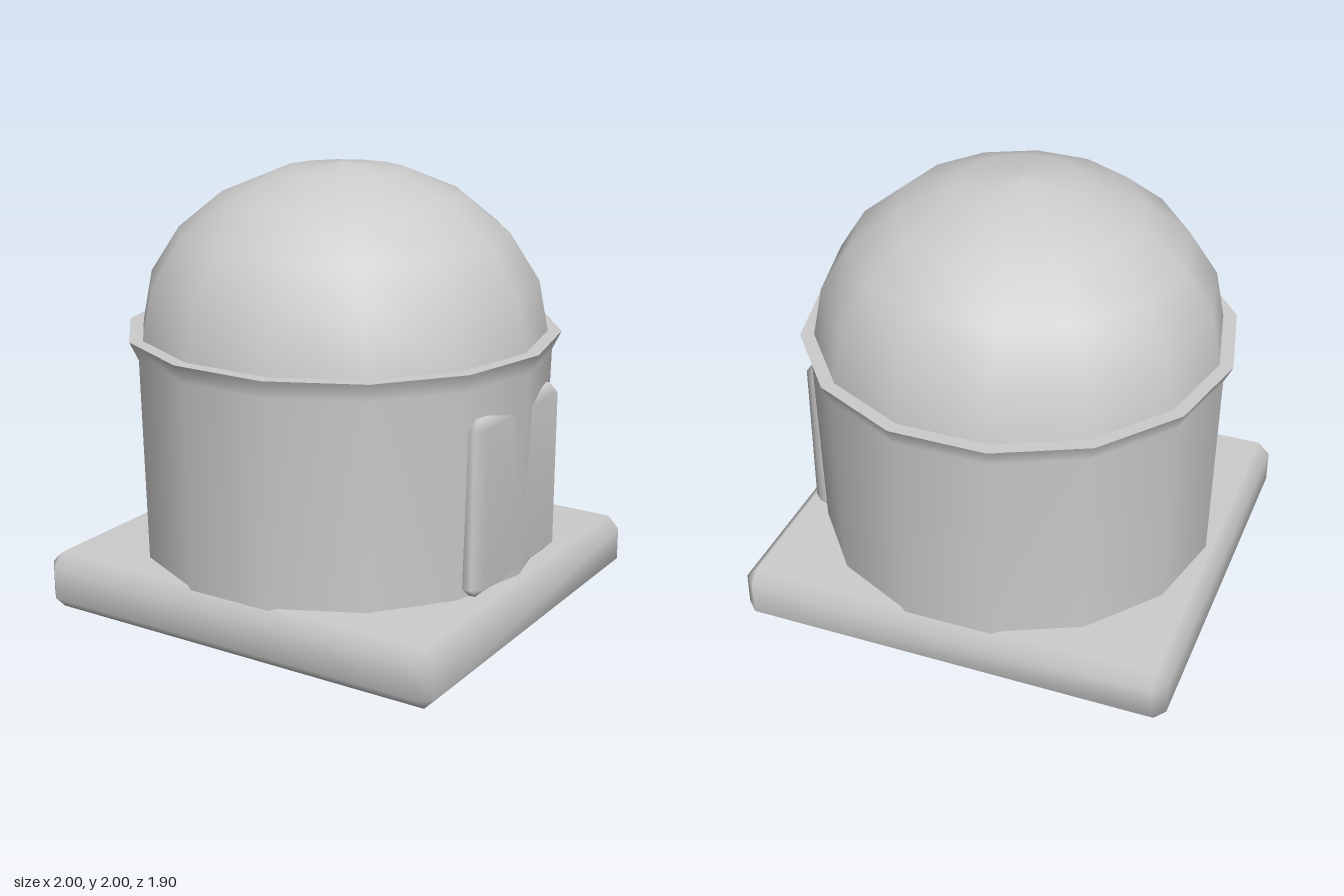
import * as THREE from 'three';
import { mergeVertices } from 'three/addons/utils/BufferGeometryUtils.js';
import { ConvexGeometry } from 'three/addons/geometries/ConvexGeometry.js';

const SIDES = 14;

// Box with single chamfers on all edges and smooth shading
function chamferBox(w, h, d, c) {
  const pts = [];
  for (const sx of [-1, 1]) for (const sy of [-1, 1]) for (const sz of [-1, 1]) {
    for (let outer = 0; outer < 3; outer++) {
      const inset = [0, 1, 2].map(axis => (axis === outer ? 0 : c));
      pts.push(new THREE.Vector3(
        sx * (w / 2 - inset[0]), sy * (h / 2 - inset[1]), sz * (d / 2 - inset[2])));
    }
  }
  const geo = new ConvexGeometry(pts);
  geo.deleteAttribute('normal');
  const smooth = mergeVertices(geo, 1e-4);
  smooth.computeVertexNormals();
  return smooth;
}

// Fourteen-sided turned form with corners on the x axis
function turned(profile) {
  const pts = profile.map(([r, y]) => new THREE.Vector2(r, y));
  return new THREE.LatheGeometry(pts, SIDES, Math.PI / 2);
}

export function createModel() {
  const model = new THREE.Group();
  model.name = 'domedBuilding';
  const stone = new THREE.MeshStandardMaterial({ color: 0xcccccc });
  stone.name = 'pale grey';

  const add = (name, geo, x = 0, y = 0, z = 0) => {
    const mesh = new THREE.Mesh(geo, stone);
    mesh.name = name;
    mesh.position.set(x, y, z);
    model.add(mesh);
    return mesh;
  };

  // Square plinth
  add('base', chamferBox(2, 0.262, 1.87, 0.055), 0, 0.131, 0);

  // Drum wall, widening to a flared lip
  add('wall', turned([[0.914, 0.2], [0.935, 1.18], [0.975, 1.264]]));

  // Flat ledge on top of the lip
  add('ledge', new THREE.RingGeometry(0.88, 0.975, SIDES), 0, 1.264, 0).rotation.x = -Math.PI / 2;

  // Dome
  add('dome', turned([
    [0.914, 1.262], [0.87, 1.49], [0.74, 1.695], [0.538, 1.86], [0.28, 1.967], [0, 2],
  ]));

  // Door panel, split in the middle by the corner of the wall
  add('door', chamferBox(0.12, 0.785, 0.74, 0.04), 0.853, 0.657, 0);

  return model;
}
